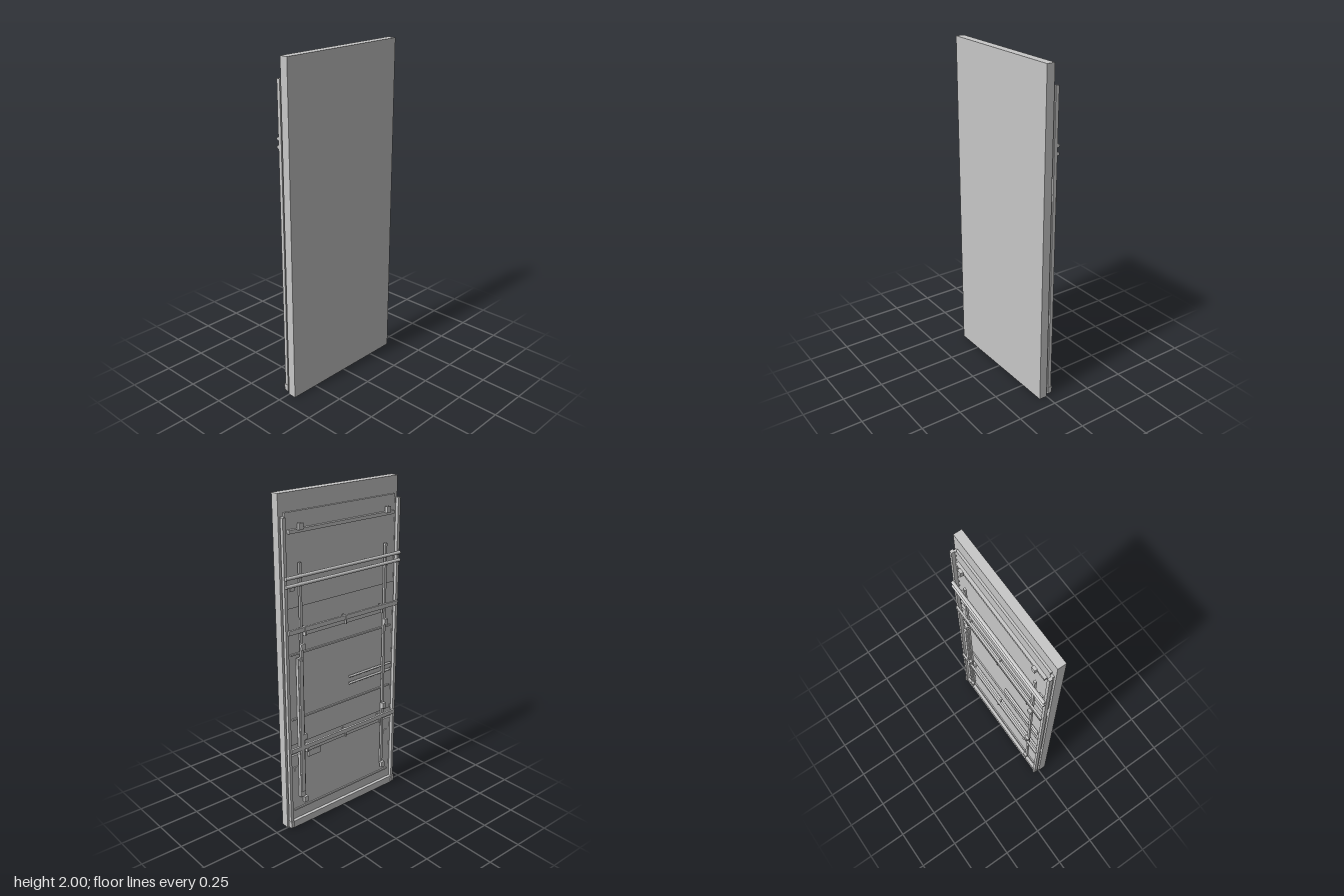
import * as THREE from 'three';

export function createModel() {
  const group = new THREE.Group();
  const grey = new THREE.MeshStandardMaterial({ color: 0xc8c8c8 });
  grey.name = 'lightGrey';

  // Box given by its limits on each axis
  const box = (name, x0, x1, y0, y1, z0, z1) => {
    const mesh = new THREE.Mesh(new THREE.BoxGeometry(x1 - x0, y1 - y0, z1 - z0), grey);
    mesh.name = name;
    mesh.position.set((x0 + x1) / 2, (y0 + y1) / 2, (z0 + z1) / 2);
    group.add(mesh);
  };
  // The same box on both sides of the panel
  const pair = (name, x0, x1, ...rest) => {
    box(name + 'Left', x0, x1, ...rest);
    box(name + 'Right', -x1, -x0, ...rest);
  };
  // Horizontal rod along x
  const rod = (name, x0, x1, y, z, r) => {
    const mesh = new THREE.Mesh(new THREE.CylinderGeometry(r, r, x1 - x0, 12), grey);
    mesh.name = name;
    mesh.rotation.z = Math.PI / 2;
    mesh.position.set((x0 + x1) / 2, y, z);
    group.add(mesh);
  };

  // Front slab
  box('frontSlab', -0.42, 0.42, 0, 2, 0, 0.05);

  // Backing sheets with open gaps between them, and the webs of the side rails
  for (const [y0, y1] of [[0.02, 0.48], [0.55, 1.25], [1.38, 1.9]]) {
    box('backingSheet', -0.39, 0.39, y0, y1, -0.012, 0);
    pair('railWeb', 0.39, 0.408, y0, Math.min(y1, 1.88), -0.013, 0);
  }

  // Side rails, sill and end caps
  pair('sideRail', 0.398, 0.416, 0.01, 1.88, -0.034, -0.013);
  box('bottomSill', -0.4, 0.4, 0.005, 0.05, -0.032, 0);
  pair('endCap', 0.398, 0.418, 0.015, 0.055, -0.04, -0.013);

  // Cross ribs on the sheets
  box('topRib', -0.375, 0.375, 1.79, 1.81, -0.03, -0.012);
  for (const y of [1.112, 0.715, 0.115])
    box('crossRib', -0.375, 0.375, y - 0.005, y + 0.005, -0.02, -0.008);

  // Vertical straps with their mounting blocks
  pair('strap', 0.302, 0.318, 0.18, 1.63, -0.035, -0.022);
  for (const y of [1.825, 1.155, 0.6, 0.18])
    pair('mountingBlock', 0.297, 0.324, y - 0.018, y + 0.018, -0.051, -0.033);

  // Twin long rods
  for (const y of [1.56, 1.515]) rod('longRod', -0.413, 0.413, y, -0.041, 0.01);

  // Two cross beams, each with a lower tube and brackets
  for (const y of [1.255, 0.53]) {
    box('crossBeam', -0.405, 0.405, y - 0.013, y + 0.013, -0.046, -0.033);
    box('lowerTube', -0.28, 0.29, y - 0.038, y - 0.013, -0.036, -0.018);
    for (const x of [-0.28, 0, 0.29])
      box('bracket', x - 0.004, x + 0.004, y - 0.04, y + 0.013, -0.047, -0.015);
  }
  box('hangingPlate', 0.18, 0.27, 0.445, 0.485, -0.028, -0.012);

  // Long upright housing on the left
  box('uprightHousing', 0.311, 0.343, 0.2, 1.09, -0.04, -0.02);
  box('uprightCover', 0.315, 0.339, 0.24, 1.08, -0.05, -0.04);

  // Short twin rods on the right
  for (const y of [0.866, 0.823]) rod('shortRod', -0.375, -0.045, y, -0.022, 0.007);

  // Small fixing plates
  for (const y of [1.49, 0.39]) pair('fixingPlate', 0.338, 0.368, y - 0.014, y + 0.014, -0.018, -0.012);

  return group;
}
